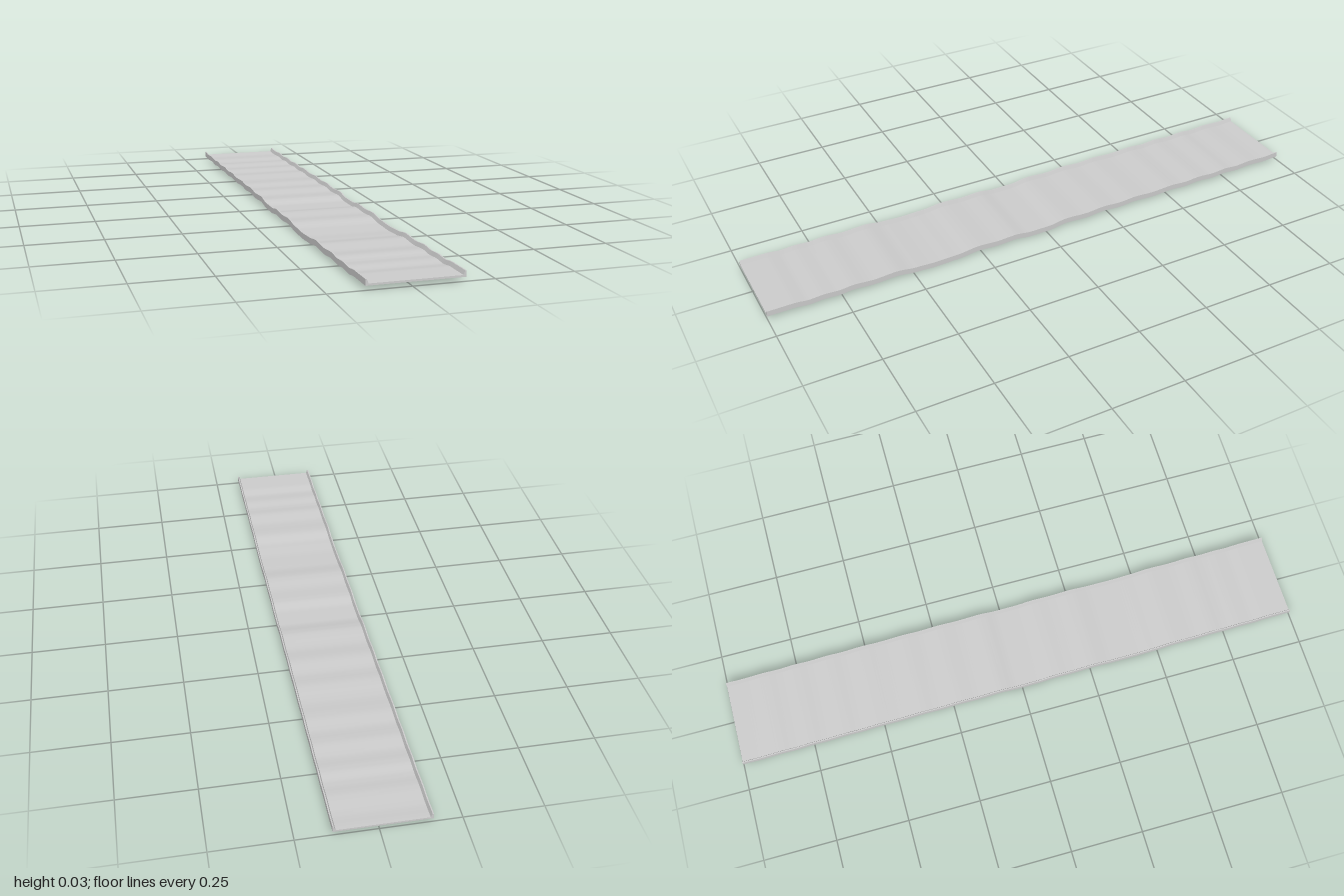
import * as THREE from 'three';
import { toCreasedNormals } from 'three/addons/utils/BufferGeometryUtils.js';

const HALF = 0.1495; // half width
const DECK = 0.006; // deck thickness
const LIP = 0.019; // total height of the raised edge
const SKEW = 0.0115; // sideways drift along the length

// Undulation of the underside: [z, height]
const WAVE = [
  [-1, 0.012], [-0.94, 0.009], [-0.87, 0.012], [-0.81, 0.008], [-0.76, 0.012],
  [-0.7, 0.008], [-0.64, 0.012], [-0.58, 0.008], [-0.52, 0.012], [-0.44, 0.008],
  [-0.36, 0.012], [-0.3, 0.008], [-0.23, 0.012], [-0.16, 0.007], [-0.08, 0.011],
  [-0.01, 0.002], [0.06, 0.002], [0.12, 0.009], [0.19, 0.006], [0.26, 0.01],
  [0.34, 0.002], [0.42, 0], [0.49, 0.003], [0.56, 0.011], [0.64, 0.007],
  [0.71, 0.012], [0.76, 0.008], [0.81, 0.011], [0.86, 0.008], [0.91, 0.013], [1, 0.013],
];

// Smooth blend between neighbouring crests and troughs
function waveHeight(z) {
  let i = 0;
  while (i < WAVE.length - 2 && z > WAVE[i + 1][0]) i++;
  const [z0, h0] = WAVE[i];
  const [z1, h1] = WAVE[i + 1];
  return THREE.MathUtils.lerp(h0, h1, THREE.MathUtils.smoothstep(z, z0, z1));
}

// Runs a cross-section along z, then bends it over the waves
function sweep(points, name, material) {
  const shape = new THREE.Shape(points.map(([x, y]) => new THREE.Vector2(x, y)));
  const geometry = new THREE.ExtrudeGeometry(shape, { depth: 2, steps: 200, bevelEnabled: false });
  geometry.translate(0, 0, -1);
  const p = geometry.attributes.position;
  for (let i = 0; i < p.count; i++) {
    const z = p.getZ(i);
    p.setXYZ(i, p.getX(i) + SKEW * z, p.getY(i) + waveHeight(z), z);
  }
  const mesh = new THREE.Mesh(toCreasedNormals(geometry, 0.6), material);
  mesh.name = name;
  return mesh;
}

export function createModel() {
  const group = new THREE.Group();
  group.name = 'wavyTrack';
  const material = new THREE.MeshStandardMaterial({ color: 0xcccccc });

  // Flat running surface
  group.add(sweep([[-HALF, 0], [HALF, 0], [HALF, DECK], [-HALF, DECK]], 'deck', material));

  // Raised edges with a sloping inner face
  for (const side of [-1, 1]) {
    const section = [
      [side * HALF, DECK],
      [side * HALF, LIP],
      [side * (HALF - 0.004), LIP],
      [side * (HALF - 0.009), DECK],
    ];
    group.add(sweep(section, side > 0 ? 'leftCurb' : 'rightCurb', material));
  }
  return group;
}
